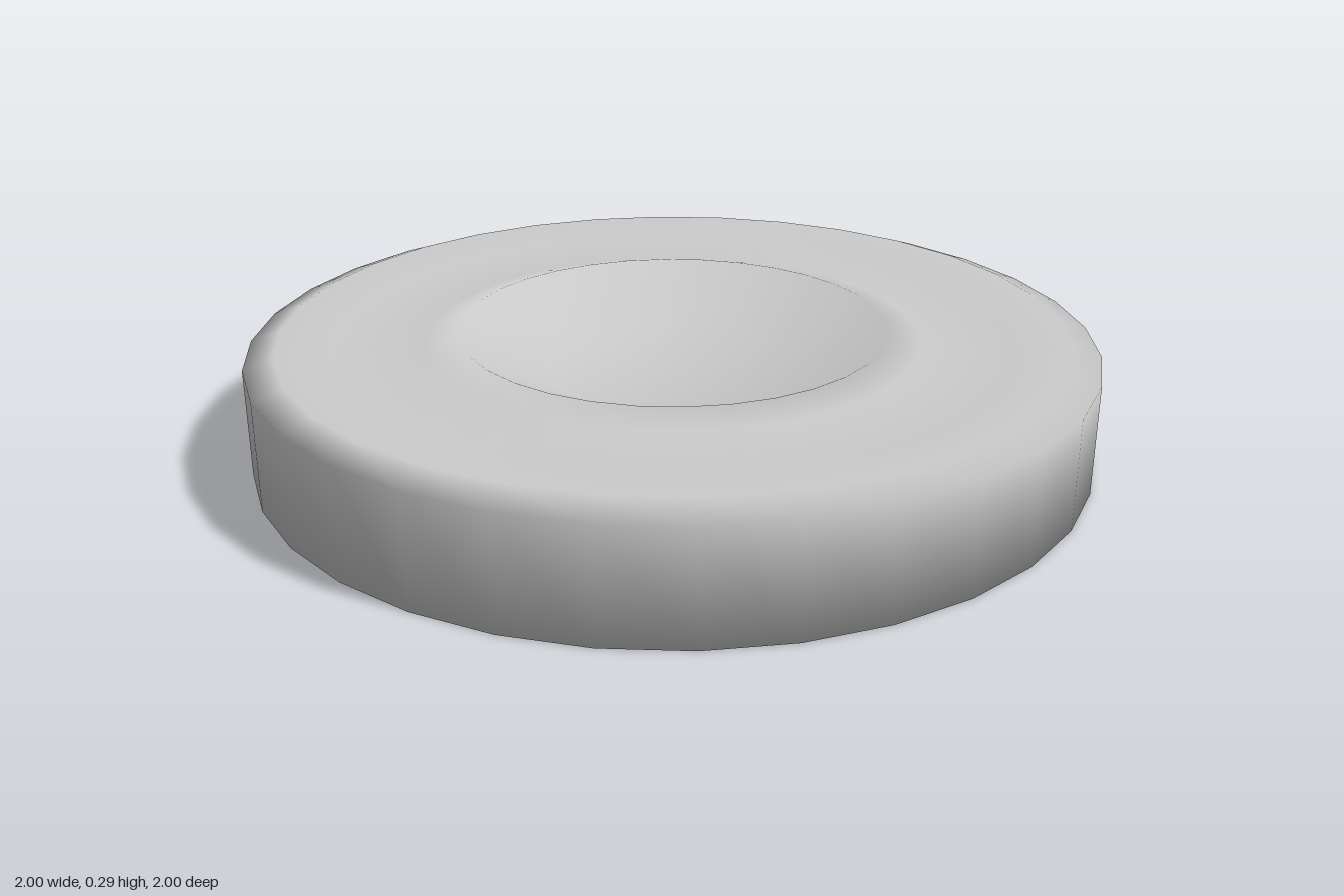
import * as THREE from 'three';

const SIDES = 32;

// Give rim vertices at y = 0 a normal halfway between outward and down
function softenBottomRim(geometry) {
  const { position, normal } = geometry.attributes;
  for (let i = 0; i < position.count; i++) {
    if (Math.abs(position.getY(i)) > 1e-6) continue;
    const n = new THREE.Vector3(position.getX(i), -1, position.getZ(i)).normalize();
    normal.setXYZ(i, n.x, n.y, n.z);
  }
  return geometry;
}

export function createModel() {
  const group = new THREE.Group();
  group.name = 'roundDisc';
  const material = new THREE.MeshStandardMaterial({ color: 0xcccccc });

  // Wall, chamfer, shallow ring groove, inner lip and sunken centre
  const profile = [
    [1, 0], [1, 0.26], [0.93, 0.285], [0.8, 0.265], [0.59, 0.265],
    [0.51, 0.287], [0.3, 0.18], [0, 0.18],
  ].map(([r, y]) => new THREE.Vector2(r, y));
  const body = new THREE.Mesh(softenBottomRim(new THREE.LatheGeometry(profile, SIDES)), material);
  body.name = 'discBody';

  // Flat underside
  const outline = Array.from({ length: SIDES }, (_, i) => {
    const a = (i / SIDES) * Math.PI * 2;
    return new THREE.Vector2(Math.cos(a), Math.sin(a));
  });
  const capGeometry = new THREE.ShapeGeometry(new THREE.Shape(outline)).rotateX(Math.PI / 2);
  const underside = new THREE.Mesh(softenBottomRim(capGeometry), material);
  underside.name = 'underside';

  group.add(body, underside);
  return group;
}
